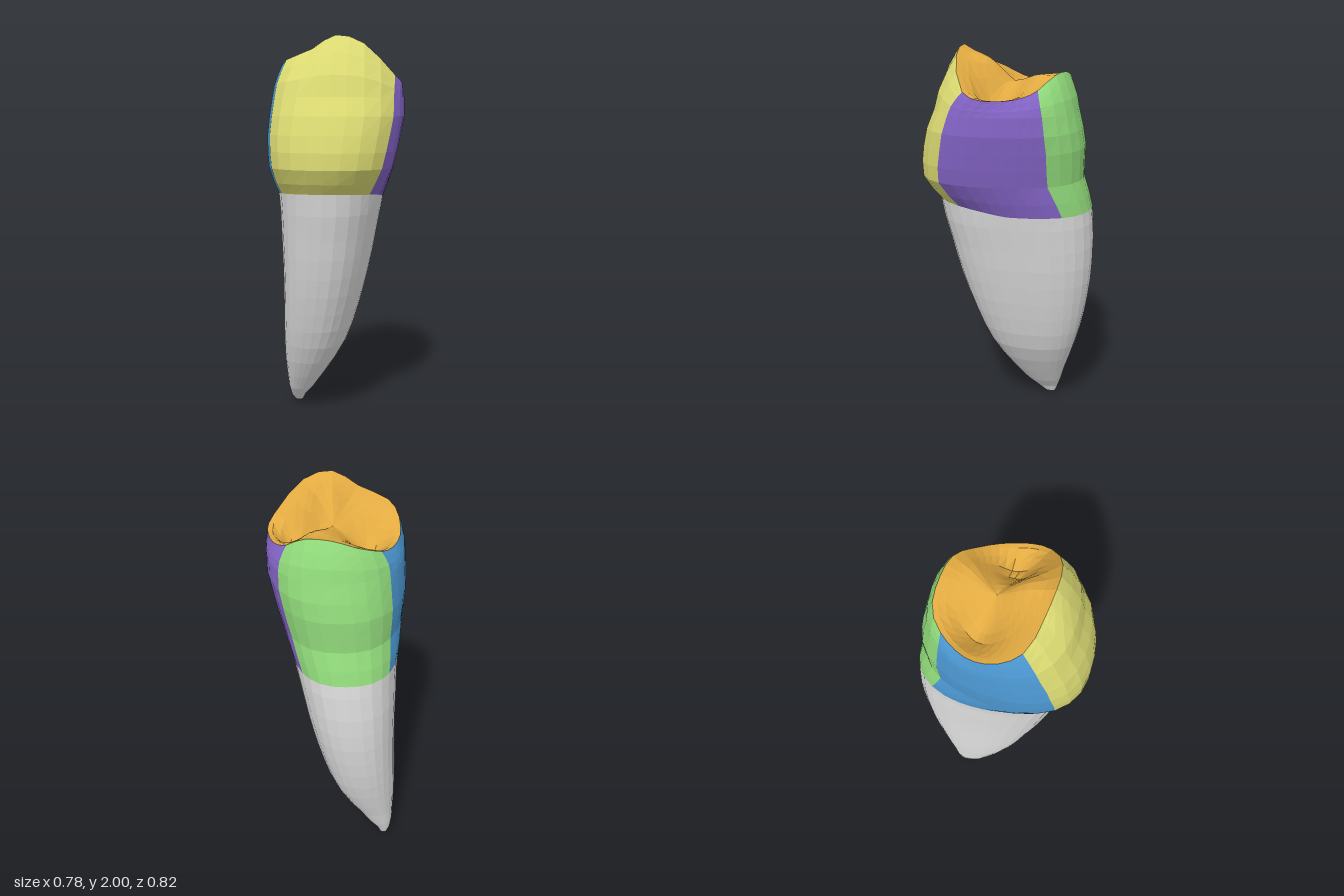
import * as THREE from 'three';

const RAD = Math.PI / 180;
const { lerp, clamp } = THREE.MathUtils;

// Cross-sections: [height, centre u, centre v, half width u, half width v]
const rootRings = [
  [0, 0.2, -0.235, 0.001, 0.001], [0.012, 0.2, -0.235, 0.03, 0.022], [0.05, 0.184, -0.233, 0.06, 0.04],
  [0.11, 0.166, -0.212, 0.098, 0.07], [0.2, 0.147, -0.182, 0.142, 0.103], [0.3, 0.132, -0.15, 0.19, 0.138],
  [0.4, 0.121, -0.121, 0.232, 0.166], [0.5, 0.113, -0.1, 0.267, 0.184], [0.6, 0.106, -0.083, 0.296, 0.197],
  [0.7, 0.098, -0.068, 0.321, 0.209], [0.8, 0.09, -0.055, 0.342, 0.22], [0.9, 0.081, -0.044, 0.358, 0.231],
  [1.0, 0.071, -0.035, 0.37, 0.241], [1.13, 0.053, -0.022, 0.383, 0.254], [1.2, 0.04, -0.018, 0.389, 0.263],
];
const crownRings = [
  rootRings[rootRings.length - 1], [1.27, 0.013, -0.01, 0.4, 0.284], [1.36, -0.019, 0.002, 0.405, 0.305],
  [1.44, -0.018, 0.008, 0.406, 0.318], [1.52, -0.01, 0.014, 0.4, 0.327], [1.61, -0.004, 0.025, 0.38, 0.332],
  [1.7, 0.006, 0.028, 0.348, 0.327],
];
// Biting edge every 30 degrees: [radius, height]
const rim = [
  [0.25, 1.878], [0.25, 1.873], [0.26, 1.8], [0.29, 1.774], [0.335, 1.797], [0.287, 1.95],
  [0.25, 1.995], [0.255, 1.93], [0.315, 1.88], [0.31, 1.805], [0.29, 1.785], [0.285, 1.835],
];
const rimCentre = [0.045, 0.04];

// Rounded, slightly square ring point; the crown narrows towards its inner side
function ringPoint([y, cu, cv, hu, hv], a) {
  const c = Math.cos(a), s = Math.sin(a), n = 2.4;
  const width = hv * (1 - 0.09 * c * clamp((y - 1.2) / 0.16, 0, 1));
  const r = (Math.abs(c / hu) ** n + Math.abs(s / width) ** n) ** (-1 / n);
  const lift = y > 1.15 && y < 1.3 ? 0.04 * Math.max(0, -c) * (y < 1.25 ? 1 : 0.5) : 0;
  return new THREE.Vector3(cu + r * c, y + lift, cv + r * s);
}

// Smooth closed interpolation of the biting edge
function rimPoint(a) {
  const f = ((a / RAD / 30) % 12 + 12) % 12, i = Math.floor(f), t = f - i;
  const value = (k) => {
    const [p, q, r, s] = [-1, 0, 1, 2].map((d) => rim[(i + d + 12) % 12][k]);
    return q + 0.5 * t * (r - p + t * (2 * p - 5 * q + 4 * r - s + t * (3 * (q - r) + s - p)));
  };
  const r = value(0);
  return new THREE.Vector3(rimCentre[0] + r * Math.cos(a), value(1), rimCentre[1] + r * Math.sin(a));
}

// Four walls: start and end angles at the neck and at the biting edge
const walls = [
  { name: 'innerSideWall', colour: 'green', neck: [-36, 37], top: [-47, 53] },
  { name: 'frontSideWall', colour: 'purple', neck: [37, 137], top: [53, 123] },
  { name: 'outerSideWall', colour: 'yellow', neck: [137, 219], top: [123, 237] },
  { name: 'rearSideWall', colour: 'blue', neck: [219, 324], top: [237, 313] },
];
const COLS = 8;

// Column angles of one wall at height fraction t
function wallAngles({ neck, top }, t) {
  return Array.from({ length: COLS + 1 }, (_, i) =>
    RAD * lerp(lerp(neck[0], neck[1], i / COLS), lerp(top[0], top[1], i / COLS), t));
}
const allAngles = (t) => walls.flatMap((w) => wallAngles(w, t).slice(0, COLS)).concat(wallAngles(walls[3], t)[COLS]);

// Faceted skin over rows of points
function skin(rows) {
  const n = rows[0].length, index = [];
  for (let r = 0; r < rows.length - 1; r++) {
    for (let c = 0; c < n - 1; c++) {
      const a = r * n + c, b = a + n;
      index.push(a, b, a + 1, a + 1, b, b + 1);
    }
  }
  const indexed = new THREE.BufferGeometry().setFromPoints(rows.flat());
  indexed.setIndex(index);
  const geometry = indexed.toNonIndexed();
  geometry.computeVertexNormals();
  return geometry;
}

// Wall rows: neck to widest part, then curving in to the biting edge
function wallRows(wall) {
  const last = crownRings[crownRings.length - 1];
  const rows = crownRings.map((ring) => wallAngles(wall, (ring[0] - 1.2) / 0.65).map((a) => ringPoint(ring, a)));
  for (const t of [0.35, 0.7, 0.9, 1]) {
    rows.push(wallAngles(wall, lerp(0.5 / 0.65, 1, t)).map((a) => {
      const low = ringPoint(last, a), high = rimPoint(a);
      const p = low.clone().lerp(high, t ** 1.5);
      p.y = lerp(low.y, high.y, t);
      return p;
    }));
  }
  return rows;
}

// Chewing surface: two pits with a cross ridge between them, as [u, v, height, size]
function chewingRows() {
  const bumps = [[0.1, -0.13, -0.085, 0.11], [0, 0.22, -0.11, 0.085], [-0.07, 0.08, 0.03, 0.07], [0.16, 0.13, 0.015, 0.06]];
  return [0, 0.08, 0.2, 0.35, 0.5, 0.65, 0.8, 0.9, 1].map((s) => allAngles(1).map((a) => {
    const p = rimPoint(a);
    p.lerp(new THREE.Vector3(rimCentre[0], 1.835, rimCentre[1]), s);
    for (const [u, v, height, size] of bumps) {
      const d2 = (p.x - u) ** 2 + (p.z - v) ** 2;
      p.y += height * Math.exp(-d2 / (size * size)) * Math.min(1, s * 3.5);
    }
    return p;
  }));
}

export function createModel() {
  const colours = { grey: 0xdddddd, yellow: 0xdedd74, purple: 0x8565c8, green: 0x92dc7c, blue: 0x4c98d2, orange: 0xe2aa41 };
  const materials = {};
  for (const [name, color] of Object.entries(colours)) {
    materials[name] = new THREE.MeshStandardMaterial({ color });
    materials[name].name = name;
  }

  const tooth = new THREE.Group();
  tooth.name = 'tooth';
  tooth.rotation.y = Math.PI / 4;
  const add = (name, rows, colour) => {
    const mesh = new THREE.Mesh(skin(rows), materials[colour]);
    mesh.name = name;
    tooth.add(mesh);
  };

  add('root', rootRings.map((ring) => allAngles(0).map((a) => ringPoint(ring, a))), 'grey');
  for (const wall of walls) add(wall.name, wallRows(wall), wall.colour);
  add('chewingSurface', chewingRows(), 'orange');

  const model = new THREE.Group();
  model.add(tooth);
  return model;
}
